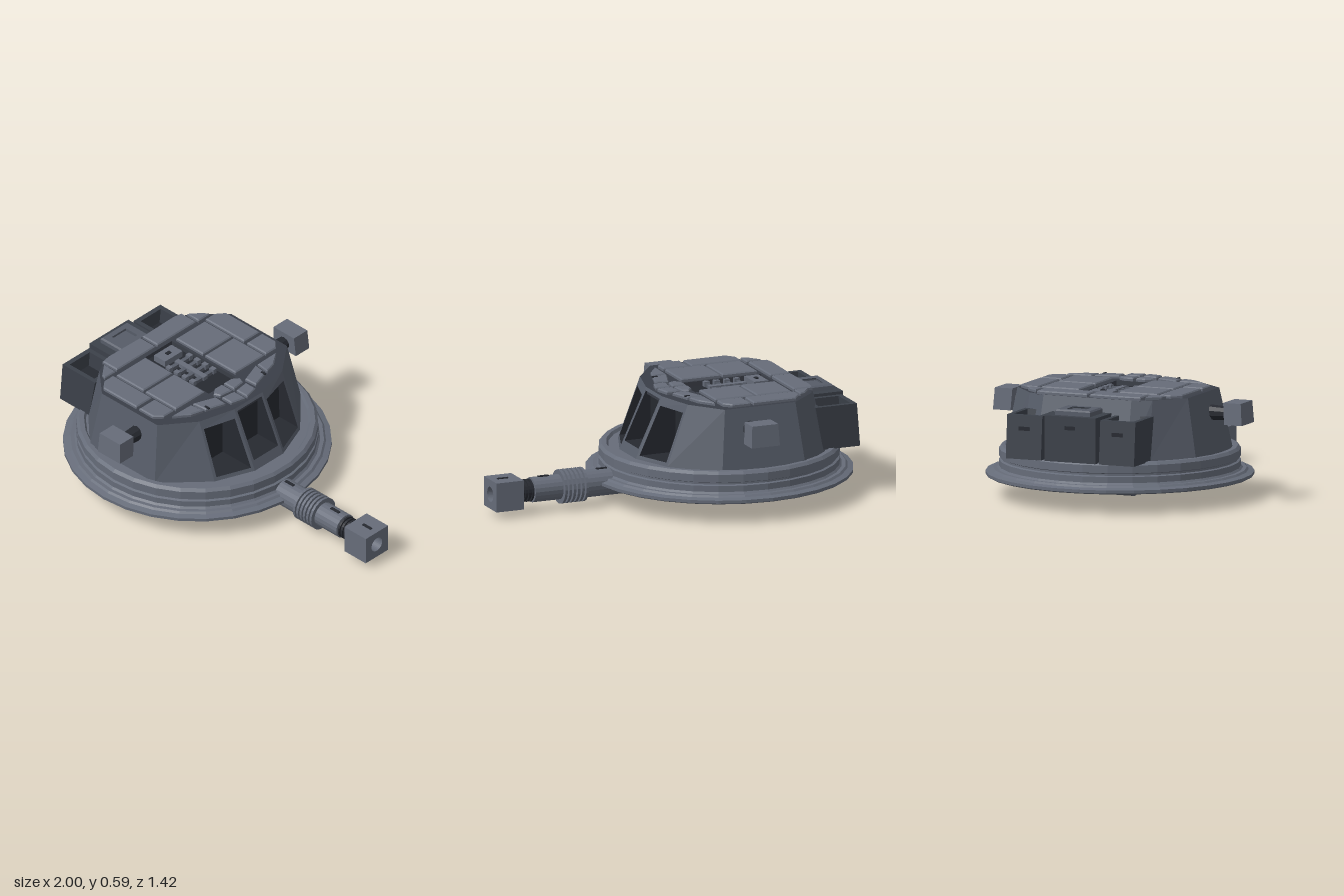
import * as THREE from 'three';

const CX = -0.3; // turret axis
const mat = (color, extra) => new THREE.MeshStandardMaterial({ color, flatShading: true, side: THREE.DoubleSide, ...extra });
const hullMat = mat(0x565c68);
const lightMat = mat(0x666c79);
const darkMat = mat(0x262930);

function add(parent, name, geometry, material, x = 0, y = 0, z = 0) {
  const mesh = new THREE.Mesh(geometry, material);
  mesh.name = name;
  mesh.position.set(x, y, z);
  parent.add(mesh);
  return mesh;
}

const box = (w, h, d) => new THREE.BoxGeometry(w, h, d);
const rect = (x0, x1, z0, z1) => [[x0, z0], [x1, z0], [x1, z1], [x0, z1]];
const mirrorZ = (pts) => pts.map(([x, z]) => [x, -z]);

// Horizontal plate from [x, z] corners, y0 to y1, with optional hole and bevel
function plate(pts, y0, y1, hole, bevel = 0) {
  const toV = (list) => list.map(([x, z]) => new THREE.Vector2(x, -z));
  const shape = new THREE.Shape(toV(pts));
  if (hole) shape.holes.push(new THREE.Path(toV(hole)));
  const g = new THREE.ExtrudeGeometry(shape, {
    depth: y1 - y0 - bevel, bevelEnabled: bevel > 0, bevelSize: bevel, bevelOffset: -bevel,
    bevelThickness: bevel, bevelSegments: 1,
  });
  return g.rotateX(-Math.PI / 2).translate(0, y0, 0);
}

// Surface from a list of four-cornered faces
function quads(list) {
  const pos = [];
  for (const [a, b, c, d] of list) for (const p of [a, b, c, a, c, d]) pos.push(p.x, p.y, p.z);
  const g = new THREE.BufferGeometry();
  g.setAttribute('position', new THREE.Float32BufferAttribute(pos, 3));
  g.computeVertexNormals();
  return g;
}

function rod(parent, name, r, x0, x1, y, material, r2 = r) {
  const g = new THREE.CylinderGeometry(r2, r, x1 - x0, 20).rotateZ(-Math.PI / 2);
  const m = add(parent, name, g, material, (x0 + x1) / 2, y, 0);
  m.material = material;
  return m;
}

function makeBase(root) {
  const profile = [[0, 0.108], [0.69, 0.108], [0.7, 0.114], [0.7, 0.13], [0.67, 0.138], [0.66, 0.148], [0.64, 0.148],
    [0.63, 0.158], [0.63, 0.19], [0.618, 0.195], [0.618, 0.205], [0.63, 0.21], [0.63, 0.25], [0.615, 0.265],
    [0.59, 0.265], [0.58, 0.25], [0, 0.25]];
  add(root, 'baseRing', new THREE.LatheGeometry(profile.map(([r, y]) => new THREE.Vector2(r, y)), 30), lightMat, CX);
}

function makeHull(root) {
  const hull = new THREE.Group();
  hull.name = 'hull';
  root.add(hull);
  const Y0 = 0.25, Y1 = 0.57;
  const lower = [[0.22, 0.105], [0.135, 0.32], [-0.08, 0.545], [-0.55, 0.545], [-0.74, 0.36], [-0.8, 0.26]];
  const upper = [[0.07, 0.105], [0.015, 0.31], [-0.12, 0.485], [-0.52, 0.485], [-0.67, 0.35], [-0.715, 0.25]];
  const ring = (half) => [...half, ...mirrorZ(half).reverse()];
  const lo = ring(lower), up = ring(upper), n = lo.length;
  const walls = [], bays = [];
  for (let i = 0; i < n; i++) {
    const j = (i + 1) % n;
    const v3 = ([x, z], y) => new THREE.Vector3(x, y, z);
    const [b0, b1, t1, t0] = [v3(lo[j], Y0), v3(lo[i], Y0), v3(up[i], Y1), v3(up[j], Y1)];
    const at = (u, v) => b0.clone().lerp(b1, u).lerp(t0.clone().lerp(t1, u), v);
    const outer = [at(0, 0), at(1, 0), at(1, 1), at(0, 1)];
    const centre = i === n - 1;
    if (!centre && i !== 0 && i !== n - 2) { walls.push(outer); continue; }
    // Front facets carry a deep open bay
    const [v0, v1] = centre ? [0.15, 0.95] : [0.06, 0.86];
    const rim = [at(0.07, v0), at(0.93, v0), at(0.93, v1), at(0.07, v1)];
    const back = rim.map((p) => new THREE.Vector3(centre ? 0.05 : 0, p.y, p.z));
    for (let k = 0; k < 4; k++) {
      const m = (k + 1) % 4;
      walls.push([outer[k], outer[m], rim[m], rim[k]]);
      bays.push([rim[k], rim[m], back[m], back[k]]);
    }
    bays.push(back);
  }
  add(hull, 'hullWalls', quads(walls), hullMat);
  add(hull, 'frontBays', quads(bays), darkMat);

  // Roof deck with sunken centre well
  add(hull, 'roofDeck', plate(up, 0.535, Y1, rect(-0.58, -0.12, -0.1, 0.1)), mat(0x3a3e47));
  add(hull, 'wellFloor', box(0.48, 0.01, 0.22), darkMat, -0.35, 0.54, 0);
  add(hull, 'wellBlock', box(0.08, 0.04, 0.13), lightMat, -0.51, 0.56, 0);
  add(hull, 'wellSlot', box(0.02, 0.004, 0.03), darkMat, -0.51, 0.582, 0);
  add(hull, 'wellSpine', box(0.21, 0.025, 0.03), lightMat, -0.345, 0.555, 0);
  for (let i = 0; i < 4; i++) {
    const x = -0.43 + i * 0.057;
    add(hull, 'wellRib', box(0.022, 0.02, 0.12), hullMat, x, 0.553, 0);
    for (const s of [-1, 1]) add(hull, 'wellStud', box(0.03, 0.03, 0.025), lightMat, x, 0.557, s * 0.075);
  }

  // Roof panels, mirrored left and right
  const panels = [
    [[-0.705, 0.008], [-0.595, 0.008], [-0.595, 0.295], [-0.7, 0.295], [-0.71, 0.24]],
    [[-0.675, 0.31], [-0.59, 0.31], [-0.59, 0.39], [-0.62, 0.38]],
    [[-0.575, 0.345], [-0.295, 0.345], [-0.295, 0.46], [-0.535, 0.46], [-0.575, 0.41]],
    [[-0.275, 0.345], [-0.135, 0.345], [-0.135, 0.42], [-0.175, 0.46], [-0.275, 0.46]],
    rect(-0.565, -0.37, 0.115, 0.33),
    rect(-0.355, -0.135, 0.115, 0.33),
    [[-0.105, 0.25], [-0.025, 0.24], [-0.045, 0.31], [-0.105, 0.39]],
    [[-0.105, 0.235], [-0.06, 0.11], [0.015, 0.115], [-0.02, 0.225]],
    [[-0.115, 0.008], [-0.04, 0.008], [-0.05, 0.085], [-0.085, 0.1], [-0.115, 0.06]],
    [[-0.025, 0.008], [0.055, 0.008], [0.035, 0.09], [-0.035, 0.09]],
  ];
  for (const p of panels) for (const q of [p, mirrorZ(p)])
    add(hull, 'roofPanel', plate(q, Y1 - 0.004, 0.588, null, 0.006), lightMat);
  for (const s of [-1, 1]) add(hull, 'panelSlot', box(0.03, 0.006, 0.012), darkMat, -0.025, 0.588, s * 0.21);
}

function makeBins(root) {
  const bins = new THREE.Group();
  bins.name = 'rearBins';
  root.add(bins);
  // Walls lean towards the hull as they rise
  const lean = (g) => {
    const p = g.attributes.position;
    for (let i = 0; i < p.count; i++) p.setX(i, p.getX(i) + (p.getY(i) - 0.26) * (0.08 + 0.5 * (p.getX(i) + 0.94)));
    g.computeVertexNormals();
    return g;
  };
  const binMat = mat(0x3c414a);
  for (const s of [-1, 1]) {
    const z0 = s * 0.165, z1 = s * 0.365;
    add(bins, 'sideBin', lean(plate(rect(-0.94, -0.73, z0, z1), 0.26, 0.49, rect(-0.915, -0.755, z0 + s * 0.025, z1 - s * 0.025))), binMat);
    add(bins, 'binFloor', lean(plate(rect(-0.93, -0.74, z0 + s * 0.01, z1 - s * 0.01), 0.27, 0.4)), darkMat);
    add(bins, 'binSlot', box(0.006, 0.02, 0.06), darkMat, -0.93, 0.42, s * 0.265);
  }
  add(bins, 'centreBin', plate(rect(-0.94, -0.71, -0.145, 0.145), 0.26, 0.5), binMat);
  add(bins, 'centreFrame', plate(rect(-0.905, -0.745, -0.1, 0.1), 0.49, 0.53, rect(-0.875, -0.775, -0.06, 0.06), 0.008), hullMat);
  add(bins, 'centreHatch', box(0.08, 0.03, 0.09), hullMat, -0.825, 0.505, 0);
  add(bins, 'centreSlot', box(0.006, 0.02, 0.06), darkMat, -0.94, 0.44, 0);
}

function makePods(root) {
  for (const s of [-1, 1]) {
    const pod = new THREE.Group();
    pod.name = s > 0 ? 'frontPod' : 'rearPod';
    root.add(pod);
    add(pod, 'podArm', new THREE.CylinderGeometry(0.034, 0.045, 0.18, 10).rotateX(s * Math.PI / 2), darkMat, -0.255, 0.46, s * 0.53);
    const g = box(0.16, 0.115, 0.1);
    const p = g.attributes.position;
    for (let i = 0; i < p.count; i++) if (p.getY(i) > 0) {
      p.setX(i, p.getX(i) * 0.92);
      p.setZ(i, p.getZ(i) - s * 0.008);
    }
    g.computeVertexNormals();
    add(pod, 'podHead', g, lightMat, -0.255, 0.468, s * 0.658);
  }
}

function makeGun(root) {
  const gun = new THREE.Group();
  gun.name = 'gun';
  root.add(gun);
  const Y = 0.117;
  add(gun, 'gunPivot', new THREE.CylinderGeometry(0.103, 0.103, 0.17, 24).rotateX(Math.PI / 2), hullMat, CX, 0.103, 0);
  rod(gun, 'gunNeck', 0.07, -0.25, -0.13, 0.095, hullMat);
  rod(gun, 'gunBreech', 0.09, -0.13, -0.05, 0.112, lightMat);
  rod(gun, 'gunBarrel', 0.072, -0.06, 0.48, Y, lightMat);
  rod(gun, 'gunFore', 0.066, 0.47, 0.77, Y, lightMat);
  for (const [start, end] of [[-0.045, 0.115], [0.485, 0.605]])
    for (let i = 0; i < 6; i++) {
      const x = start + (end - start) * i / 5;
      rod(gun, 'coolingRing', 0.09, x - 0.007, x + 0.007, Y, lightMat);
    }
  // Ridged collar behind the muzzle
  rod(gun, 'muzzleCollar', 0.05, 0.76, 0.86, Y, darkMat);
  for (let i = 0; i < 4; i++) rod(gun, 'collarRidge', 0.06, 0.775 + i * 0.02, 0.785 + i * 0.02, Y, darkMat);
  // Square muzzle block with a round bore
  const block = new THREE.Shape([[-1, -1], [1, -1], [1, 1], [-1, 1]].map(([a, b]) => new THREE.Vector2(a * 0.083, b * 0.078)));
  block.holes.push(new THREE.Path().absarc(0, 0, 0.04, 0, Math.PI * 2, true));
  const g = new THREE.ExtrudeGeometry(block, { depth: 0.155, bevelEnabled: false, curveSegments: 16 }).rotateY(Math.PI / 2);
  add(gun, 'muzzleBlock', g, lightMat, 0.845, Y, 0);
  rod(gun, 'bore', 0.042, 0.85, 0.94, Y, darkMat);
  for (const [x, y] of [[0.37, 0.189], [0.7, 0.183], [0.93, 0.195]])
    add(gun, 'gunSlot', box(0.06, 0.008, 0.016), darkMat, x, y, 0);
}

export function createModel() {
  const root = new THREE.Group();
  root.name = 'turret';
  makeBase(root);
  makeHull(root);
  makeBins(root);
  makePods(root);
  makeGun(root);
  return root;
}
